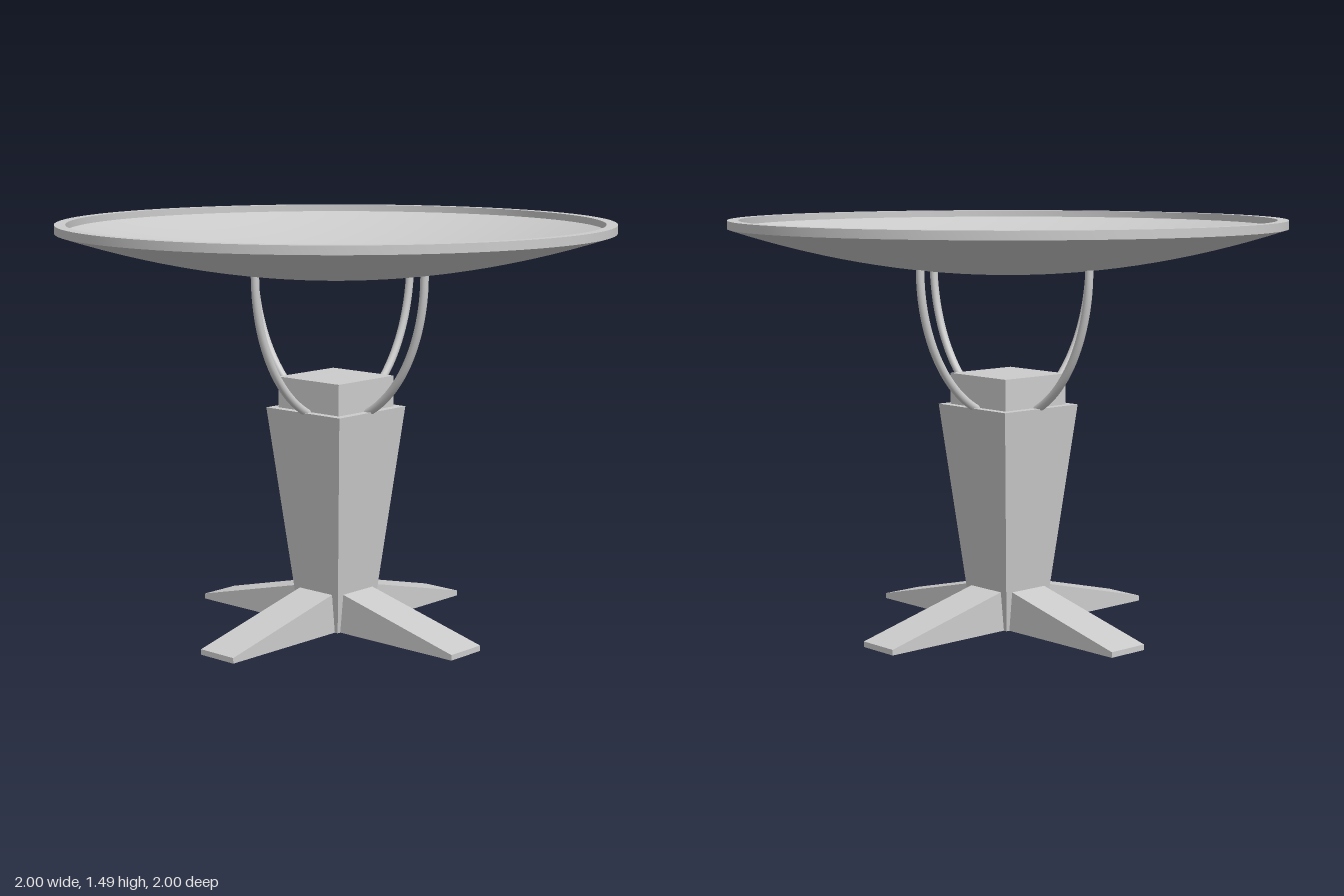
import * as THREE from 'three';
import { toCreasedNormals } from 'three/addons/utils/BufferGeometryUtils.js';

const material = new THREE.MeshStandardMaterial({ color: 0xcccccc });

function part(name, geometry, parent) {
  const mesh = new THREE.Mesh(geometry, material);
  mesh.name = name;
  parent.add(mesh);
  return mesh;
}

// Shallow curved dish with a flat raised rim
function dishGeometry() {
  const steps = 16;
  const points = [];
  for (let i = 0; i <= steps; i++) {
    const r = i / steps;
    points.push(new THREE.Vector2(r, 1.29 + 0.165 * r * r));
  }
  points.push(new THREE.Vector2(1, 1.485), new THREE.Vector2(0.96, 1.485));
  for (let i = steps; i >= 0; i--) {
    const r = i / steps;
    points.push(new THREE.Vector2(0.96 * r, 1.315 + 0.145 * r * r));
  }
  return toCreasedNormals(new THREE.LatheGeometry(points, 96), 0.5);
}

// Square column, wider at the top
function columnGeometry(bottom, top, height) {
  const g = new THREE.CylinderGeometry(top * Math.SQRT2, bottom * Math.SQRT2, height, 4);
  g.rotateY(Math.PI / 4);
  g.translate(0, height / 2, 0);
  return toCreasedNormals(g, 0.1);
}

// Sloping foot pointing along +x
function footGeometry() {
  const shape = new THREE.Shape([
    new THREE.Vector2(0, 0),
    new THREE.Vector2(0.615, 0),
    new THREE.Vector2(0.615, 0.02),
    new THREE.Vector2(0.1, 0.147),
    new THREE.Vector2(0, 0.147),
  ]);
  const g = new THREE.ExtrudeGeometry(shape, { depth: 0.16, bevelEnabled: false });
  return g.translate(0, 0, -0.08);
}

// Curved strut following a quarter ellipse in the xy plane
function strutGeometry() {
  const points = [];
  for (let i = 0; i <= 12; i++) {
    const a = (i / 12) * 1.3;
    points.push(new THREE.Vector3(0.414 * Math.cos(a), 1.322 - 0.55 * Math.sin(a), 0));
  }
  return new THREE.TubeGeometry(new THREE.CatmullRomCurve3(points), 32, 0.015, 12);
}

export function createModel() {
  const model = new THREE.Group();
  model.name = 'dishOnPedestal';

  part('dish', dishGeometry(), model);
  part('column', columnGeometry(0.094, 0.179, 0.815), model);
  part('columnCap', new THREE.BoxGeometry(0.296, 0.125, 0.296), model).position.y = 0.8655;

  // Four feet and four struts around the column
  const foot = footGeometry();
  const strut = strutGeometry();
  for (let i = 0; i < 4; i++) {
    const angle = (i * Math.PI) / 2;
    part('foot' + (i + 1), foot, model).rotation.y = angle;
    part('strut' + (i + 1), strut, model).rotation.y = angle;
  }
  return model;
}
